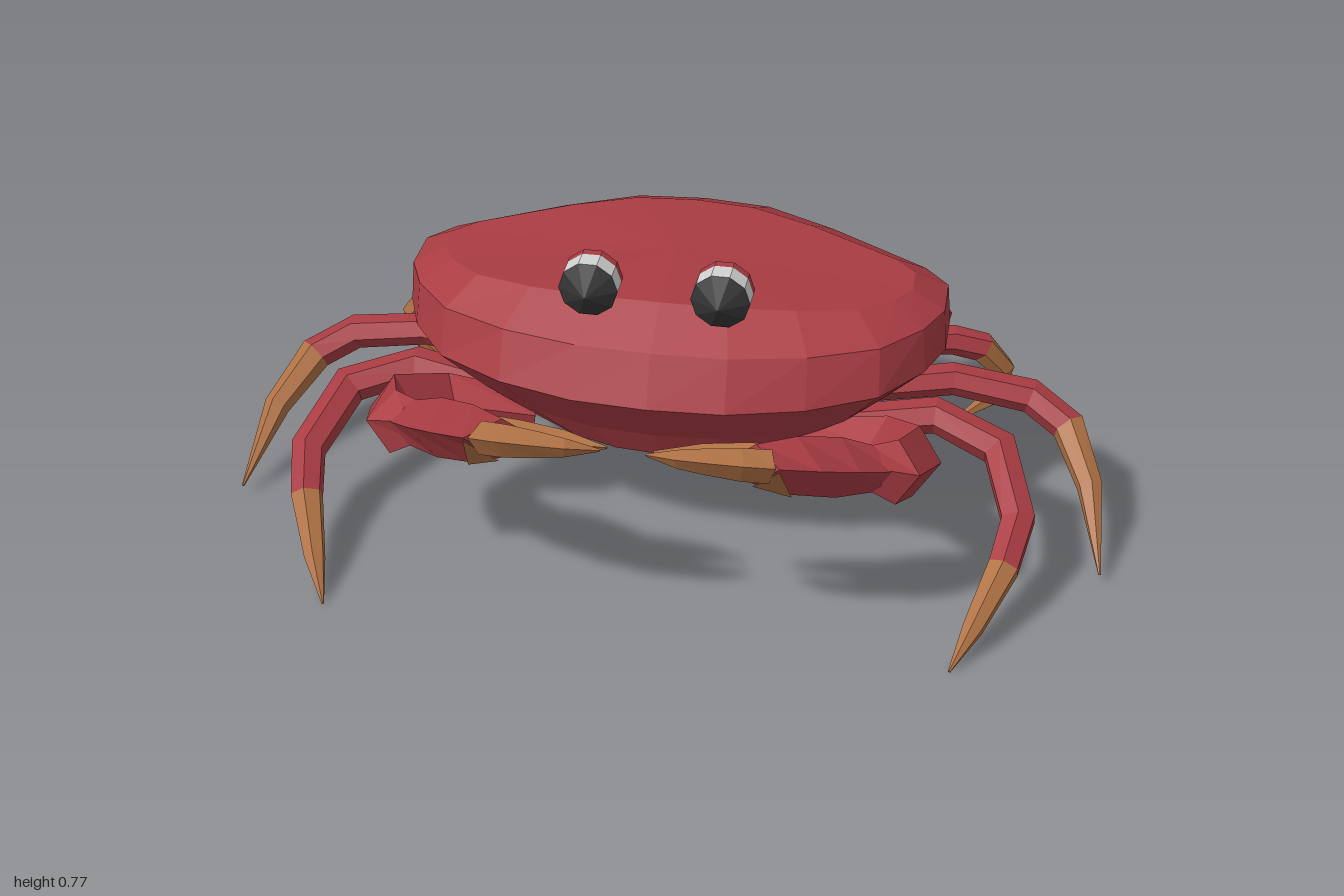
import * as THREE from 'three';

const V = (x, y, z) => new THREE.Vector3(x, y, z);

// Flat-faced geometry from a list of triangle corner points.
function fromCorners(points) {
  const g = new THREE.BufferGeometry().setFromPoints(points);
  g.computeVertexNormals();
  return g;
}

const centre = ring => ring.reduce((s, p) => s.add(p), V(0, 0, 0)).divideScalar(ring.length);

// Fan that closes a ring around a peak, flipped for the start of a loft.
function cap(ring, flip, peak = centre(ring)) {
  return ring.flatMap((p, i) => {
    const q = ring[(i + 1) % ring.length];
    return flip ? [peak, q, p] : [peak, p, q];
  });
}

// Skin a row of rings that run counter-clockwise seen from the far end.
function skin(rings) {
  const out = [];
  for (let r = 0; r + 1 < rings.length; r++) {
    const a = rings[r], b = rings[r + 1];
    for (let i = 0; i < a.length; i++) {
      const j = (i + 1) % a.length;
      out.push(a[i], a[j], b[j], a[i], b[j], b[i]);
    }
  }
  return out;
}

// Rings along a path of [x, y, z, thickness, width]; thickness follows the hint.
function limbRings(path, side, sides, hint) {
  const pts = path.map(p => V(p[0] * side, p[1], p[2]));
  const last = pts.length - 1;
  const flat = hint ? V(hint[0] * side, hint[1], hint[2])
    : pts[2].clone().sub(pts[0]).cross(pts[last].clone().sub(pts[2])).normalize();
  return pts.map((p, i) => {
    const t = pts[Math.min(i + 1, last)].clone().sub(pts[Math.max(i - 1, 0)]).normalize();
    const a = flat.clone().addScaledVector(t, -flat.dot(t)).normalize();
    const b = t.clone().cross(a);
    return Array.from({ length: sides }, (_, k) => {
      const u = (k / sides) * Math.PI * 2;
      return p.clone().addScaledVector(a, Math.cos(u) * path[i][3]).addScaledVector(b, Math.sin(u) * path[i][4]);
    });
  });
}

export function createModel() {
  const crab = new THREE.Group();
  crab.name = 'crab';
  const mat = (name, color) => {
    const m = new THREE.MeshStandardMaterial({ color });
    m.name = name;
    return m;
  };
  const red = mat('shell red', 0xa93c43);
  const tan = mat('claw tan', 0xb07245);
  const white = mat('eye white', 0xd2d2d2);
  const black = mat('pupil black', 0x343434);

  const add = (parent, name, points, material) => {
    const m = new THREE.Mesh(fromCorners(points), material);
    m.name = name;
    parent.add(m);
  };
  const group = name => {
    const g = new THREE.Group();
    g.name = name;
    crab.add(g);
    return g;
  };

  // Shell: one half outline (x, z), mirrored and scaled at each height
  const half = [[0, .335], [.17, .325], [.34, .278], [.49, .195], [.575, .075], [.612, -.03],
    [.608, -.16], [.55, -.232], [.316, -.383], [.155, -.466], [0, -.482]];
  const outline = half.concat(half.slice(1, -1).reverse().map(([x, z]) => [-x, z]));
  // height, x scale, z scale, z shift, rise towards the sides
  const levels = [
    [.27, .57, .5, .02, .03], [.345, .83, .8, -.04, .02], [.48, 1, 1, 0, 0],
    [.59, .99, .86, -.008, -.012], [.655, .87, .57, -.021, -.032]];
  const shellRings = levels.map(([y, sx, sz, dz, rise]) =>
    outline.map(([x, z]) => V(x * sx, y + rise * (x / .612) ** 2, z * sz + dz)));
  add(crab, 'shell', [...skin(shellRings), ...cap(shellRings[4], false, V(0, .657, -.06))], red);
  add(crab, 'belly', cap(shellRings[0], true, V(0, .27, 0)), tan);

  // Walking legs: path points, then the index where the tan tip starts
  const legs = [
    ['frontLeg', 4, [[.3, .29, .04, .036, .036], [.6, .32, -.005, .042, .042], [.75, .28, .045, .045, .045],
      [.81, .2, .2, .042, .042], [.79, .137, .3, .04, .038], [.74, .062, .43, .027, .025], [.7, .004, .519, .003, .003]]],
    ['middleLeg', 3, [[.3, .29, -.1, .034, .034], [.62, .305, -.188, .038, .038], [.8, .272, -.198, .04, .04],
      [.892, .225, -.158, .04, .04], [.955, .152, -.03, .032, .03], [.997, .03, .138, .003, .003]]],
    ['rearLeg', 3, [[.25, .28, -.2, .032, .032], [.42, .31, -.31, .036, .036], [.6, .295, -.375, .034, .036],
      [.67, .27, -.395, .034, .036], [.715, .205, -.42, .03, .032], [.695, .11, -.43, .023, .023], [.61, .03, -.435, .003, .003]]],
    ['hindLeg', 4, [[.18, .27, -.25, .03, .03], [.36, .275, -.44, .034, .034], [.52, .265, -.56, .04, .038],
      [.54, .225, -.602, .036, .038], [.53, .155, -.618, .03, .033], [.47, .07, -.63, .022, .026], [.34, .02, -.622, .003, .003]]]];

  // Pincers lie in a plane that rises to the front
  const lift = [0, .87, -.49];
  const onPlane = list => list.map(([x, z, t, w]) => [x, .447 + (z - .43) * .56, z, t, w]);
  const arm = [[.3, .285, .1, .05, .045], [.5, .31, .13, .07, .055], [.585, .375, .27, .078, .055],
    [.555, .415, .38, .07, .062], [.49, .437, .402, .045, .045]];
  const palm = onPlane([[.53, .385, .045, .045], [.435, .438, .065, .097], [.35, .497, .062, .112], [.272, .548, .042, .106]]);
  const innerFinger = onPlane([[.33, .5, .045, .05], [.24, .494, .038, .046], [.15, .494, .027, .031], [.05, .515, .003, .006]]);
  const outerFinger = onPlane([[.31, .575, .036, .05], [.25, .593, .035, .054], [.18, .603, .028, .046],
    [.12, .611, .02, .03], [.05, .589, .003, .006]]);

  // Eye rings from back to front, ten-sided
  const eyeRing = z => Array.from({ length: 10 }, (_, k) =>
    V(Math.cos(k * Math.PI / 5) * .0655, Math.sin(k * Math.PI / 5) * .0655, z));
  const [eyeRear, eyeSeam, eyeFront] = [-.032, -.012, .032].map(eyeRing);

  for (const [side, label] of [[1, 'left'], [-1, 'right']]) {
    for (const [name, split, path] of legs) {
      const g = group(`${label} ${name}`);
      const rings = limbRings(path, side, 6);
      add(g, 'legShaft', [...cap(rings[0], true), ...skin(rings.slice(0, split + 1))], red);
      add(g, 'legTip', [...skin(rings.slice(split)), ...cap(rings[rings.length - 1], false)], tan);
    }

    const claw = group(`${label} claw`);
    for (const [name, path, material] of [['arm', arm, red], ['palm', palm, red],
      ['innerFinger', innerFinger, tan], ['outerFinger', outerFinger, tan]]) {
      const rings = limbRings(path, side, 4, lift);
      add(claw, name, [...cap(rings[0], true), ...skin(rings), ...cap(rings[rings.length - 1], false)], material);
    }
    // Tan wedge running back along the underside of the palm
    const [heel, front] = limbRings(palm, side, 4, lift).slice(2)
      .map(ring => ring.map(p => p.add(V(0, -.005, .003))));
    add(claw, 'palmUnderside', [heel[2], front[2], front[1], heel[2], front[3], front[2]], tan);

    // Eye: faceted ball with a dark front, white band and red back
    const eye = group(`${label} eye`);
    eye.position.set(.145 * side, .71, .203);
    add(eye, 'pupil', cap(eyeFront, false, V(0, 0, .0725)), black);
    add(eye, 'eyeWhite', skin([eyeSeam, eyeFront]), white);
    add(eye, 'eyeBack', [...skin([eyeRear, eyeSeam]), ...cap(eyeRear, true, V(0, 0, -.0725))], red);
  }
  return crab;
}
